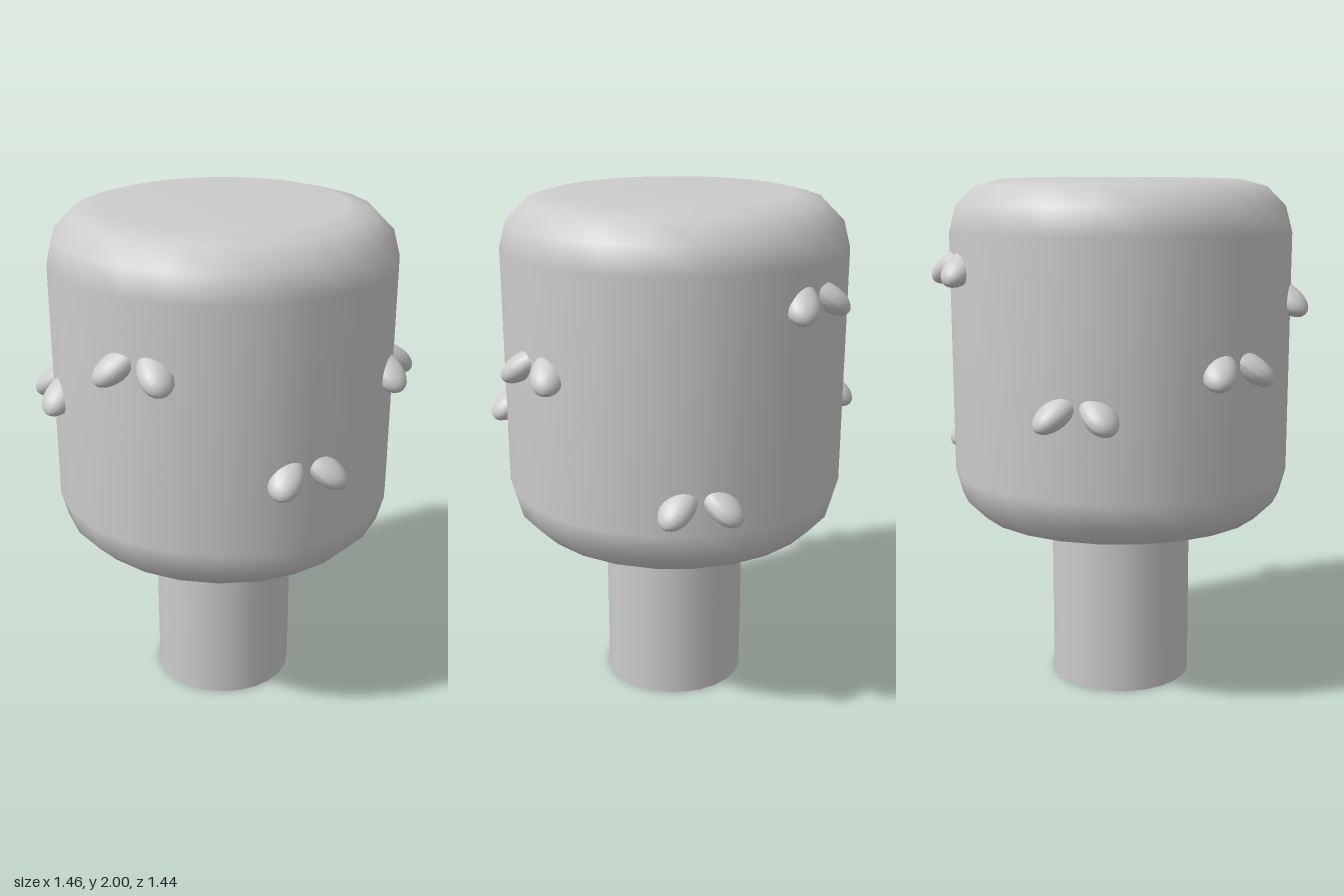
import * as THREE from 'three';

const RADIUS = 0.665, BOTTOM = 0.67, TOP = 2, BEVEL = 0.2;
const material = new THREE.MeshStandardMaterial({ color: 0xcccccc });

// Drum with rounded rims, turned from a half profile
function makeHead() {
  const profile = [new THREE.Vector2(0, BOTTOM)];
  const rim = (centreY, from) => {
    for (let i = 0; i <= 3; i++) {
      const a = from + (i * Math.PI) / 6;
      profile.push(new THREE.Vector2(RADIUS - BEVEL + BEVEL * Math.cos(a), centreY + BEVEL * Math.sin(a)));
    }
  };
  rim(BOTTOM + BEVEL, -Math.PI / 2);
  rim(TOP - BEVEL, 0);
  profile.push(new THREE.Vector2(0, TOP));
  const mesh = new THREE.Mesh(new THREE.LatheGeometry(profile, 24), material);
  mesh.name = 'head';
  return mesh;
}

// Flattened egg along z, slightly narrower at the root
function makeLeafGeometry() {
  const geometry = new THREE.SphereGeometry(1, 20, 14).rotateX(Math.PI / 2);
  const p = geometry.attributes.position;
  for (let i = 0; i < p.count; i++) {
    const z = p.getZ(i), w = 1 + 0.14 * z;
    p.setXYZ(i, p.getX(i) * 0.064 * w, p.getY(i) * 0.048 * w, z * 0.11);
  }
  geometry.computeVertexNormals();
  return geometry;
}

// Two leaves splayed sideways and drooping
function makeLeafPair(geometry) {
  const pair = new THREE.Group();
  pair.name = 'leafPair';
  for (const side of [-1, 1]) {
    const leaf = new THREE.Mesh(geometry, material);
    leaf.name = side > 0 ? 'leftLeaf' : 'rightLeaf';
    leaf.position.set(side * 0.072, 0, 0.642);
    leaf.rotation.set(0.58, side * 0.74, 0, 'YXZ');
    pair.add(leaf);
  }
  return pair;
}

export function createModel() {
  const model = new THREE.Group();
  model.name = 'mallet';

  const stem = new THREE.Mesh(new THREE.CylinderGeometry(0.28, 0.28, 0.72, 24), material);
  stem.name = 'stem';
  stem.position.y = 0.36;
  model.add(stem, makeHead());

  // Heading around the head in degrees, and height
  const leafGeometry = makeLeafGeometry();
  const places = [[358.5, 1.165], [47.5, 1.425], [105.5, 0.985], [146.5, 1.68], [204.5, 1.195], [257, 1.335], [304.5, 1.555]];
  for (const [heading, height] of places) {
    const pair = makeLeafPair(leafGeometry);
    pair.rotation.y = THREE.MathUtils.degToRad(heading);
    pair.position.y = height;
    model.add(pair);
  }

  model.position.set(-0.007, 0, 0.005);
  const root = new THREE.Group();
  root.add(model);
  return root;
}
